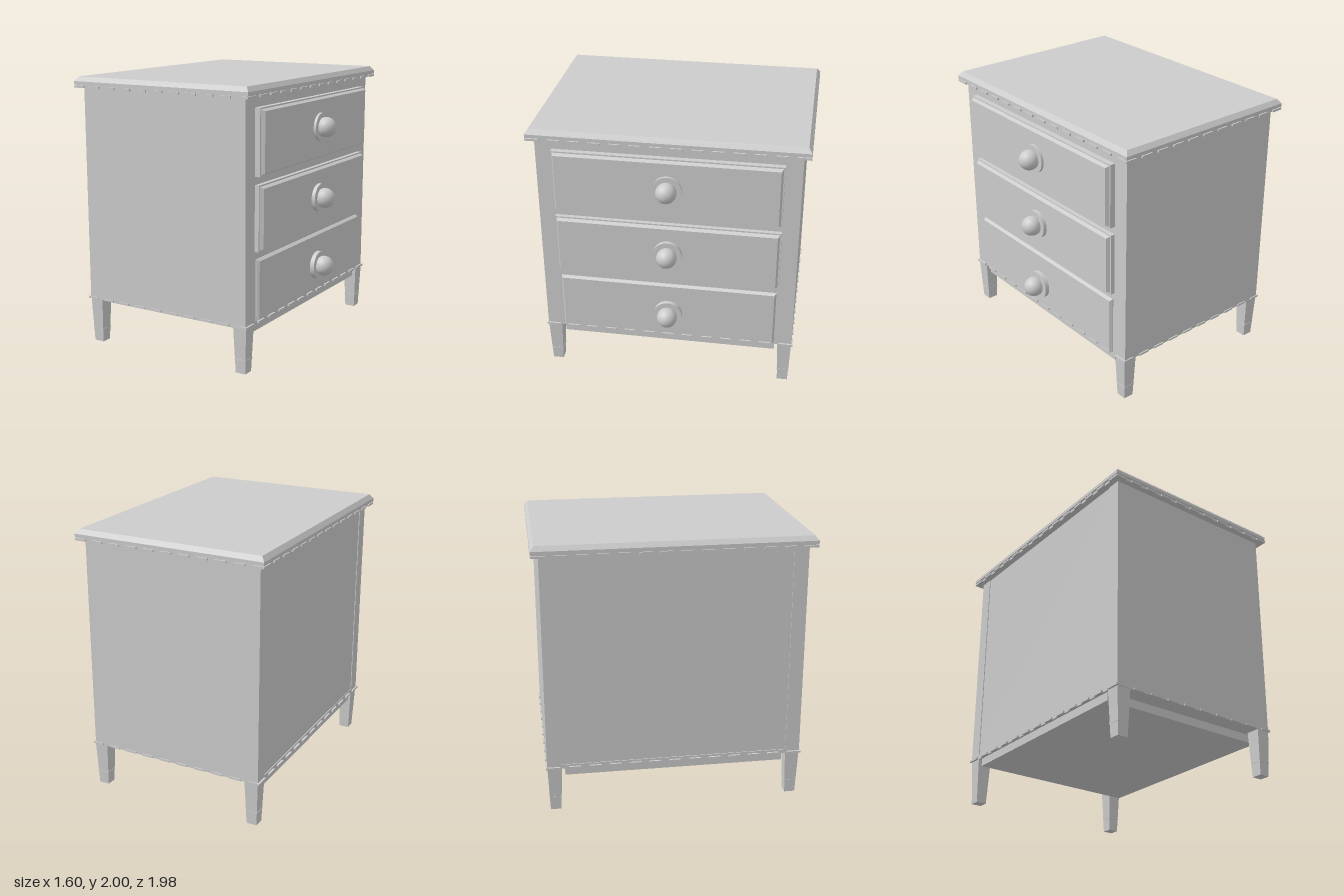
import * as THREE from 'three';

const MAT = new THREE.MeshStandardMaterial({ color: 0xcccccc });

function add(parent, name, geo, x, y, z) {
  const m = new THREE.Mesh(geo, MAT);
  m.name = name;
  m.position.set(x, y, z);
  parent.add(m);
  return m;
}

// box given by its min/max along each axis
function block(parent, name, x0, x1, y0, y1, z0, z1) {
  return add(parent, name, new THREE.BoxGeometry(x1 - x0, y1 - y0, z1 - z0),
    (x0 + x1) / 2, (y0 + y1) / 2, (z0 + z1) / 2);
}

// box whose upper face is inset on all sides (negative inset flares out)
function bevelled(w, h, d, inset) {
  const g = new THREE.BoxGeometry(w, h, d);
  const p = g.attributes.position;
  for (let i = 0; i < p.count; i++) {
    if (p.getY(i) < 0) continue;
    p.setX(i, p.getX(i) - Math.sign(p.getX(i)) * inset);
    p.setZ(i, p.getZ(i) - Math.sign(p.getZ(i)) * inset);
  }
  g.computeVertexNormals();
  return g;
}

// row of small flat teeth around a rectangle
function dentils(parent, name, x0, x1, z1, y0, y1, depth) {
  const g = new THREE.Group();
  g.name = name;
  parent.add(g);
  const row = (a, b, place) => {
    const n = Math.round((b - a) / 0.148);
    const step = (b - a - 0.085) / n;
    for (let i = 0; i <= n; i++) place(a + i * step, a + i * step + 0.085);
  };
  row(x0, x1, (a, b) => {
    block(g, 'tooth', a, b, y0, y1, z1 - depth, z1);
    block(g, 'tooth', a, b, y0, y1, -z1, -z1 + depth);
  });
  row(-z1 + depth, z1 - depth, (a, b) => {
    block(g, 'tooth', x1 - depth, x1, y0, y1, a, b);
    block(g, 'tooth', x0, x0 + depth, y0, y1, a, b);
  });
}

export function createModel() {
  const root = new THREE.Group();
  root.name = 'nightstand';

  // Cabinet with corner stiles and rails around a slightly sunk back panel
  const cabinet = new THREE.Group();
  cabinet.name = 'cabinet';
  root.add(cabinet);
  block(cabinet, 'core', -0.745, 0.608, 0.335, 1.925, -0.935, 0.935);
  block(cabinet, 'backStile', -0.751, -0.745, 0.335, 1.925, 0.83, 0.935);
  block(cabinet, 'backStile', -0.751, -0.745, 0.335, 1.925, -0.935, -0.83);
  block(cabinet, 'backLowerRail', -0.751, -0.745, 0.335, 0.365, -0.83, 0.83);
  block(cabinet, 'apron', -0.735, 0.59, 0.275, 0.335, -0.805, 0.805);

  // Table top: bevelled slab over a shallow toothed moulding
  const top = new THREE.Group();
  top.name = 'top';
  root.add(top);
  block(top, 'topMoulding', -0.788, 0.646, 1.92, 1.942, -0.976, 0.976);
  block(top, 'topSlab', -0.8, 0.658, 1.942, 1.967, -0.988, 0.988);
  add(top, 'topBevel', bevelled(1.458, 0.033, 1.976, 0.026), -0.071, 1.9835, 0);
  dentils(root, 'topDentils', -0.8, 0.658, 0.988, 1.92, 1.936, 0.014);
  dentils(root, 'baseDentils', -0.765, 0.622, 0.943, 0.335, 0.35, 0.02);

  // Tapered legs with a narrow collar near the foot
  for (const x of [-0.697, 0.559]) {
    for (const z of [-0.881, 0.881]) {
      const leg = new THREE.Group();
      leg.name = 'leg';
      leg.position.set(x, 0, z);
      root.add(leg);
      add(leg, 'legShaft', bevelled(0.078, 0.335, 0.078, -0.013), 0, 0.1675, 0);
      add(leg, 'legCollar', new THREE.BoxGeometry(0.09, 0.008, 0.09), 0, 0.1, 0);
    }
  }

  // Drawers: [bottom, top, slab front, raised front, half width, lip]
  const drawers = [
    [0.355, 0.8, 0.615, 0.634, 0.802, 0],
    [0.857, 1.322, 0.64, 0.666, 0.815, 0.01],
    [1.38, 1.848, 0.648, 0.674, 0.815, 0.01],
  ];
  const knobY = [0.576, 1.097, 1.626];
  drawers.forEach(([y0, y1, xs, xf, hz, lip], i) => {
    const drawer = new THREE.Group();
    drawer.name = 'drawer';
    root.add(drawer);
    block(drawer, 'drawerSlab', 0.6, xs, y0, y1, -hz, hz);
    const face = add(drawer, 'drawerBevel',
      bevelled(y1 - y0 - 2 * lip, xf - xs, 2 * (hz - lip), 0.013),
      (xs + xf) / 2, (y0 + y1) / 2, 0);
    face.rotation.z = -Math.PI / 2;

    // Round knob on a disc
    const knob = new THREE.Group();
    knob.name = 'knob';
    knob.position.set(0, knobY[i], -0.011);
    root.add(knob);
    const plate = add(knob, 'knobPlate', new THREE.CylinderGeometry(0.104, 0.104, 0.033, 40), 0.677, 0, 0);
    plate.rotation.z = -Math.PI / 2;
    add(knob, 'knobBall', new THREE.SphereGeometry(0.074, 32, 20), 0.726, 0, 0);
  });

  return root;
}
